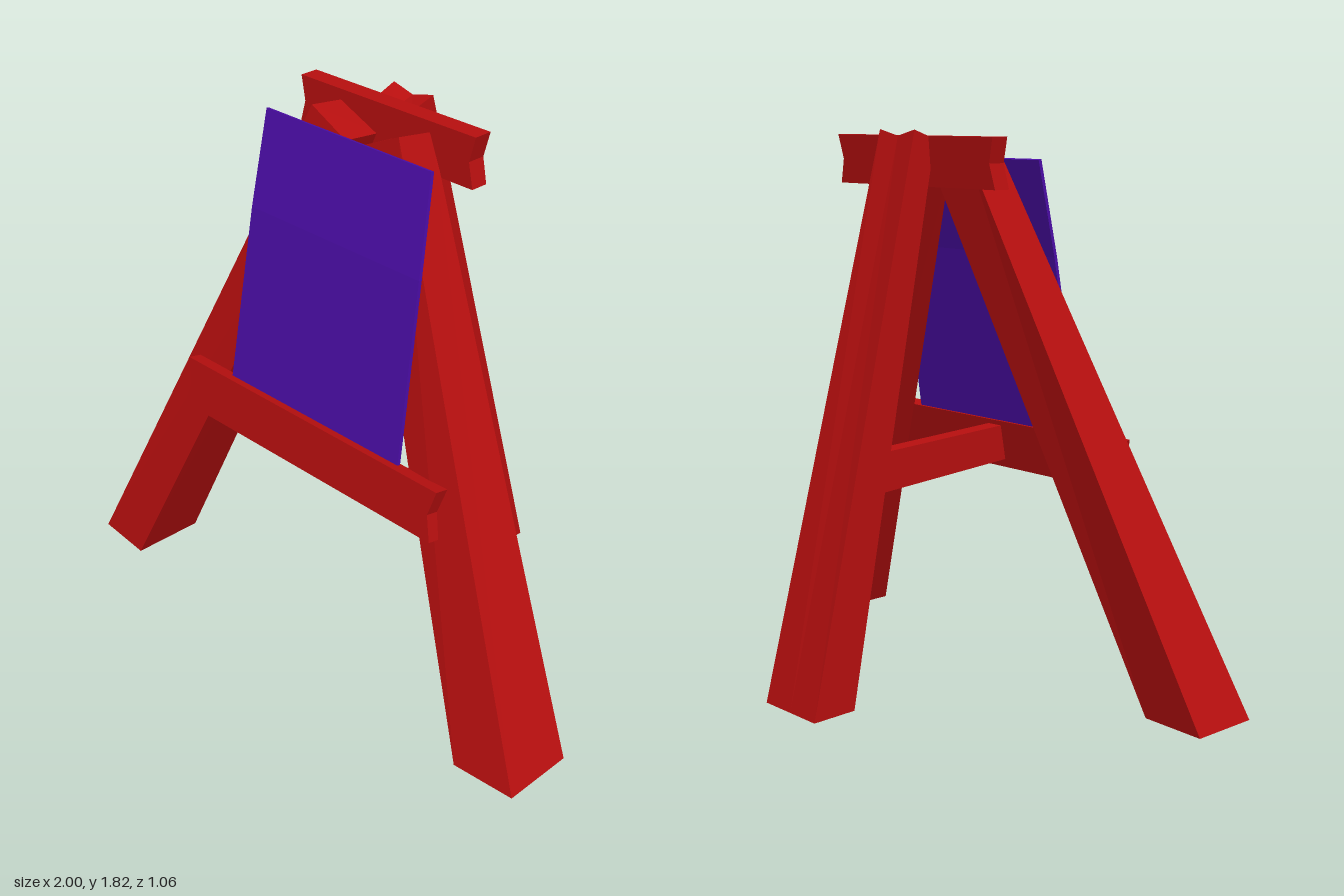
import * as THREE from 'three';

const red = new THREE.MeshStandardMaterial({ color: 0xb80f0f, flatShading: true });
const purple = new THREE.MeshStandardMaterial({ color: 0x4c0da8, flatShading: true });

// Closed solid lofted through four-cornered rings of [x, y, z] points,
// each ring counter-clockwise as seen from the last end
function loft(name, rings, material = red) {
  const index = [];
  for (let r = 0; r < rings.length - 1; r++) {
    for (let i = 0; i < 4; i++) {
      const a = r * 4 + i, b = r * 4 + (i + 1) % 4;
      index.push(a, b, b + 4, a, b + 4, a + 4);
    }
  }
  const e = (rings.length - 1) * 4;
  index.push(0, 2, 1, 0, 3, 2, e, e + 1, e + 2, e, e + 2, e + 3);
  const indexed = new THREE.BufferGeometry();
  indexed.setAttribute('position', new THREE.Float32BufferAttribute(rings.flat(2), 3));
  indexed.setIndex(index);
  const geometry = indexed.toNonIndexed();
  geometry.computeVertexNormals();
  const mesh = new THREE.Mesh(geometry, material);
  mesh.name = name;
  return mesh;
}

// Horizontal ring for solids lofted upwards; yBack lets the ring tilt
const level = (x0, x1, yFront, zFront, yBack, zBack) => [
  [x0, yFront, zFront], [x1, yFront, zFront], [x1, yBack, zBack], [x0, yBack, zBack],
];

// Ring in a plane of constant x, from four [z, y] corners
const slice = (x, corners) => corners.map(([z, y]) => [x, y, z]);

const mirror = (ring) => ring.map(([x, y, z]) => [-x, y, z]).reverse();

// Plank with a shallow notch in each end
function plank(name, halfWidth, notch, bottom, top) {
  const middle = bottom.map((v, i) => (v + top[i]) / 2);
  return loft(name, [
    level(-halfWidth, halfWidth, ...bottom),
    level(-halfWidth + notch, halfWidth - notch, ...middle),
    level(-halfWidth, halfWidth, ...top),
  ]);
}

export function createModel() {
  const easel = new THREE.Group();
  easel.name = 'easel';

  // Splayed front legs, cut square to their own slope at the top
  const legRings = [
    [[0.78, 0, 0.53], [1, 0, 0.512], [1, 0, 0.27], [0.775, 0, 0.28]],
    [[0.03, 1.715, 0.18], [0.185, 1.785, 0.172], [0.19, 1.765, 0.04], [0.03, 1.7, 0.045]],
  ];
  easel.add(loft('leftFrontLeg', legRings));
  easel.add(loft('rightFrontLeg', legRings.map(mirror)));

  // Back leg, tapering upwards with a dip across its top
  const backSide = (s) => [
    [0.12 * s, 0, -0.365], [0.125 * s, 0, -0.53],
    [0.083 * s, 1.82, -0.078], [0.08 * s, 1.79, 0.01],
  ];
  easel.add(loft('backLeg', [
    backSide(-1),
    slice(0, [[-0.365, 0], [-0.53, 0], [-0.075, 1.8], [0.01, 1.775]]),
    backSide(1),
  ]));

  // Top crossbar and the leaning tray that holds the canvas
  easel.add(plank('crossbar', 0.37, 0.02, [1.64, 0.055, 1.64, -0.005], [1.8, 0.045, 1.8, -0.018]));
  easel.add(plank('tray', 0.573, 0.023, [0.68, 0.435, 0.67, 0.39], [0.845, 0.405, 0.835, 0.358]));

  // Brace running from the tray to the back leg
  const braceEnd = [[0.4, 0.7], [-0.3, 0.655], [-0.3, 0.79], [0.375, 0.82]];
  easel.add(loft('brace', [slice(-0.03, braceEnd), slice(0.03, braceEnd)]));

  // Thin canvas, bent slightly backwards in its upper part
  easel.add(loft('canvas', [
    level(-0.385, 0.382, 0.835, 0.376, 0.835, 0.364),
    level(-0.37, 0.366, 1.42, 0.271, 1.42, 0.259),
    level(-0.37, 0.337, 1.73, 0.194, 1.727, 0.182),
  ], purple));

  return easel;
}
